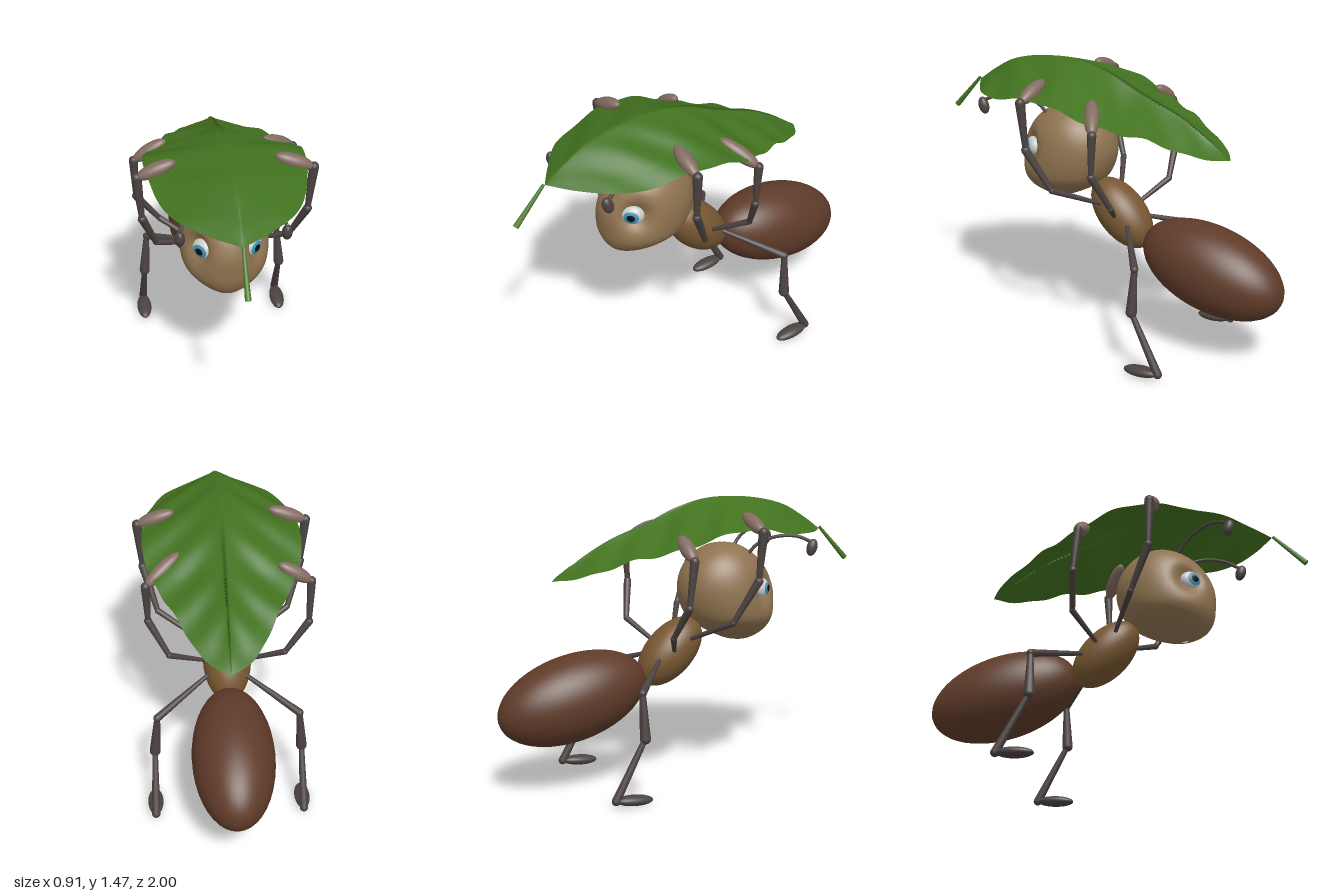
import * as THREE from 'three';
import { ParametricGeometry } from 'three/addons/geometries/ParametricGeometry.js';

const V = (x, y, z) => new THREE.Vector3(x, y, z);
const UP = V(0, 1, 0);
const mat = (color, side = THREE.FrontSide) => new THREE.MeshStandardMaterial({ color, side });

const HEAD = mat(0x8f7350), THORAX = mat(0x775731), ABDOMEN = mat(0x5f3b29);
const LIMB = mat(0x4b4341), PAD = mat(0x836b62), LEAF = mat(0x42721f, THREE.DoubleSide);
const STEM = mat(0x4c7a2a), WHITE = mat(0xe4e6e6), IRIS = mat(0x3f93b5), BLACK = mat(0x0c0c10);

function add(parent, name, geometry, material) {
  const mesh = new THREE.Mesh(geometry, material);
  mesh.name = name;
  parent.add(mesh);
  return mesh;
}

function ellipsoid(parent, name, material, center, radii) {
  const mesh = add(parent, name, new THREE.SphereGeometry(1, 40, 28), material);
  mesh.position.copy(center);
  mesh.scale.set(...radii);
  return mesh;
}

// Tapered limb segment with rounded ends, from a to b
function bone(parent, name, a, b, ra, rb) {
  const length = a.distanceTo(b), profile = [];
  for (let i = 0; i <= 6; i++) {
    const t = (i / 6) * Math.PI / 2;
    profile.push(new THREE.Vector2(ra * Math.sin(t), -ra * Math.cos(t)));
  }
  for (let i = 0; i <= 6; i++) {
    const t = (i / 6) * Math.PI / 2;
    profile.push(new THREE.Vector2(rb * Math.cos(t), length + rb * Math.sin(t)));
  }
  const mesh = add(parent, name, new THREE.LatheGeometry(profile, 16), LIMB);
  mesh.position.copy(a);
  mesh.quaternion.setFromUnitVectors(UP, b.clone().sub(a).normalize());
}

// Oval foot stretched from heel to toe
function foot(parent, heel, toe, material, width, height) {
  const center = heel.clone().lerp(toe, 0.5);
  const mesh = ellipsoid(parent, 'foot', material, center, [width, height, heel.distanceTo(toe) / 2]);
  mesh.lookAt(toe);
}

// Joints: hip, knee, shin, ankle, toe
function leg(parent, name, joints, radii, pad, padWidth, padHeight) {
  const group = new THREE.Group();
  group.name = name;
  const p = joints.map((j) => V(...j));
  ['upperLeg', 'middleLeg', 'lowerLeg'].forEach((part, i) =>
    bone(group, part, p[i], p[i + 1], radii[i][0], radii[i][1]));
  foot(group, p[3], p[4], pad, padWidth, padHeight);
  parent.add(group);
}

// Head: rounded cranium narrowing to a pointed chin, with eye sockets
function headGeometry() {
  // y, half width, front z, back z
  const rows = [
    [0.71, 0.004, 0.365, 0.33], [0.722, 0.045, 0.4, 0.26], [0.75, 0.095, 0.45, 0.19],
    [0.79, 0.155, 0.485, 0.115], [0.84, 0.203, 0.505, 0.05], [0.9, 0.22, 0.512, 0.012],
    [0.98, 0.222, 0.512, -0.01], [1.05, 0.213, 0.49, -0.005], [1.11, 0.193, 0.455, 0.018],
    [1.16, 0.162, 0.41, 0.055], [1.2, 0.12, 0.355, 0.108], [1.225, 0.07, 0.3, 0.165],
    [1.234, 0.004, 0.235, 0.227],
  ];
  const front = new THREE.CatmullRomCurve3(rows.map((r) => V(r[1], r[0], r[2])), false, 'catmullrom');
  const back = new THREE.CatmullRomCurve3(rows.map((r) => V(0, r[0], r[3])), false, 'catmullrom');
  return new ParametricGeometry((u, v, out) => {
    const f = front.getPoint(v), b = back.getPoint(v), a = (u * 2 + 1) * Math.PI;
    out.set(f.x * Math.sin(a), f.y, (f.z + b.z) / 2 + (f.z - b.z) / 2 * Math.cos(a));
    // Sockets fade out towards the middle of the face
    const side = THREE.MathUtils.clamp(out.x / 0.05, -1, 1);
    const d = (Math.abs(out.x) - 0.17) ** 2 + (out.y - 1) ** 2 + (out.z - 0.415) ** 2;
    const dent = Math.exp(-d / 0.0055);
    out.x -= side * 0.052 * dent;
    out.z -= 0.034 * dent;
  }, 72, 64);
}

// Leaf: drooping from a midrib, with rippled side veins
function leafGeometry() {
  // z, half width, midrib y, edge y
  const rows = [
    [0.82, 0.004, 1.28, 1.28], [0.72, 0.14, 1.35, 1.275], [0.59, 0.28, 1.42, 1.285],
    [0.4, 0.36, 1.462, 1.31], [0.17, 0.397, 1.468, 1.335], [-0.02, 0.39, 1.425, 1.29],
    [-0.19, 0.335, 1.35, 1.235], [-0.38, 0.245, 1.28, 1.19], [-0.53, 0.17, 1.2, 1.13],
    [-0.63, 0.1, 1.13, 1.1], [-0.7, 0.004, 1.08, 1.08],
  ];
  const rib = new THREE.CatmullRomCurve3(rows.map((r) => V(0, r[2], r[0])), false, 'catmullrom');
  const edge = new THREE.CatmullRomCurve3(rows.map((r) => V(r[1], r[3], r[0])), false, 'catmullrom');
  return new ParametricGeometry((u, v, out) => {
    const r = rib.getPoint(v), e = edge.getPoint(v), s = u * 2 - 1, k = Math.abs(s);
    const ripple = 0.009 * Math.sin((r.z + 0.7 * k * e.x) * 25) * Math.sin(Math.min(1, k * 1.3) * 2.2);
    const droop = k ** THREE.MathUtils.clamp(0.85 + 0.8 * r.z, 0.72, 1.1);
    out.set(s * e.x + 0.008, r.y + (e.y - r.y) * droop + ripple * Math.min(1, e.x * 4), r.z);
  }, 48, 96);
}

export function createModel() {
  const model = new THREE.Group();
  model.name = 'antCarryingLeaf';

  // Body
  const body = new THREE.Group();
  body.name = 'body';
  body.position.x = -0.01;
  model.add(body);
  ellipsoid(body, 'thorax', THORAX, V(0, 0.68, -0.07), [0.125, 0.125, 0.215]).rotation.x = -Math.PI / 4;
  ellipsoid(body, 'abdomen', ABDOMEN, V(0, 0.484, -0.61), [0.208, 0.22, 0.4]).rotation.x = -0.25;
  add(body, 'head', headGeometry(), HEAD);

  for (const s of [-1, 1]) {
    // Eyes: flattened, turned outwards, with the gaze slightly forward
    const eye = new THREE.Group();
    eye.name = s > 0 ? 'leftEye' : 'rightEye';
    eye.position.set(s * 0.121, 0.997, 0.403);
    eye.rotation.y = s * 0.85;
    eye.scale.set(0.058, 0.05, 0.036);
    add(eye, 'eyeball', new THREE.SphereGeometry(1, 32, 24), WHITE);
    const look = new THREE.Quaternion().setFromUnitVectors(UP, V(-s * 0.12, 0, 1).normalize());
    for (const [name, r, angle, material] of [['iris', 1.02, 0.72, IRIS], ['pupil', 1.04, 0.36, BLACK]]) {
      add(eye, name, new THREE.SphereGeometry(r, 28, 10, 0, Math.PI * 2, 0, angle), material).quaternion.copy(look);
    }
    body.add(eye);

    // Antennae
    const path = new THREE.CatmullRomCurve3([
      V(s * 0.09, 1.17, 0.33), V(s * 0.115, 1.23, 0.38), V(s * 0.165, 1.268, 0.46),
      V(s * 0.22, 1.272, 0.55), V(s * 0.25, 1.245, 0.615),
    ]);
    add(body, 'antenna', new THREE.TubeGeometry(path, 24, 0.009, 10), LIMB);
    ellipsoid(body, 'antennaTip', LIMB, V(s * 0.25, 1.213, 0.625), [0.025, 0.045, 0.028]).rotation.x = 0.3;

    // Standing rear legs
    leg(model, 'rearLeg', [
      [s * 0.1, 0.655, -0.17], [s * 0.362, 0.56, -0.375], [s * 0.38, 0.335, -0.37],
      [s * 0.387, 0.038, -0.53], [s * 0.387, 0.024, -0.335],
    ], [[0.011, 0.02], [0.015, 0.028], [0.014, 0.022]], LIMB, 0.04, 0.027);

    // Raised front legs
    leg(model, 'frontLeg', [
      [s * 0.09, 0.745, -0.01], [s * 0.34, 0.865, 0.13], [s * 0.41, 1.08, 0.235],
      [s * 0.43, 1.325, 0.247], [s * 0.24, 1.398, 0.24],
    ], [[0.01, 0.016], [0.014, 0.022], [0.014, 0.025]], PAD, 0.038, 0.036);
  }

  // Raised middle legs, each gripping the leaf at its own angle
  const slim = [[0.01, 0.016], [0.014, 0.02], [0.013, 0.023]];
  leg(model, 'leftMiddleLeg', [
    [0.09, 0.69, -0.085], [0.29, 0.815, -0.19], [0.39, 1.0, -0.14], [0.395, 1.215, -0.15], [0.22, 1.33, -0.035],
  ], slim, PAD, 0.038, 0.038);
  leg(model, 'rightMiddleLeg', [
    [-0.1, 0.69, -0.085], [-0.3, 0.805, -0.18], [-0.42, 0.97, -0.15], [-0.425, 1.2, -0.125], [-0.26, 1.305, -0.125],
  ], slim, PAD, 0.038, 0.036);

  // Leaf and stalk
  add(model, 'leaf', leafGeometry(), LEAF);
  const stalk = add(model, 'leafStalk', new THREE.CylinderGeometry(0.008, 0.015, 0.24, 12), STEM);
  stalk.position.set(0.008, 1.197, 0.91);
  stalk.quaternion.setFromUnitVectors(UP, V(0, 0.17, -0.16).normalize());
  return model;
}
